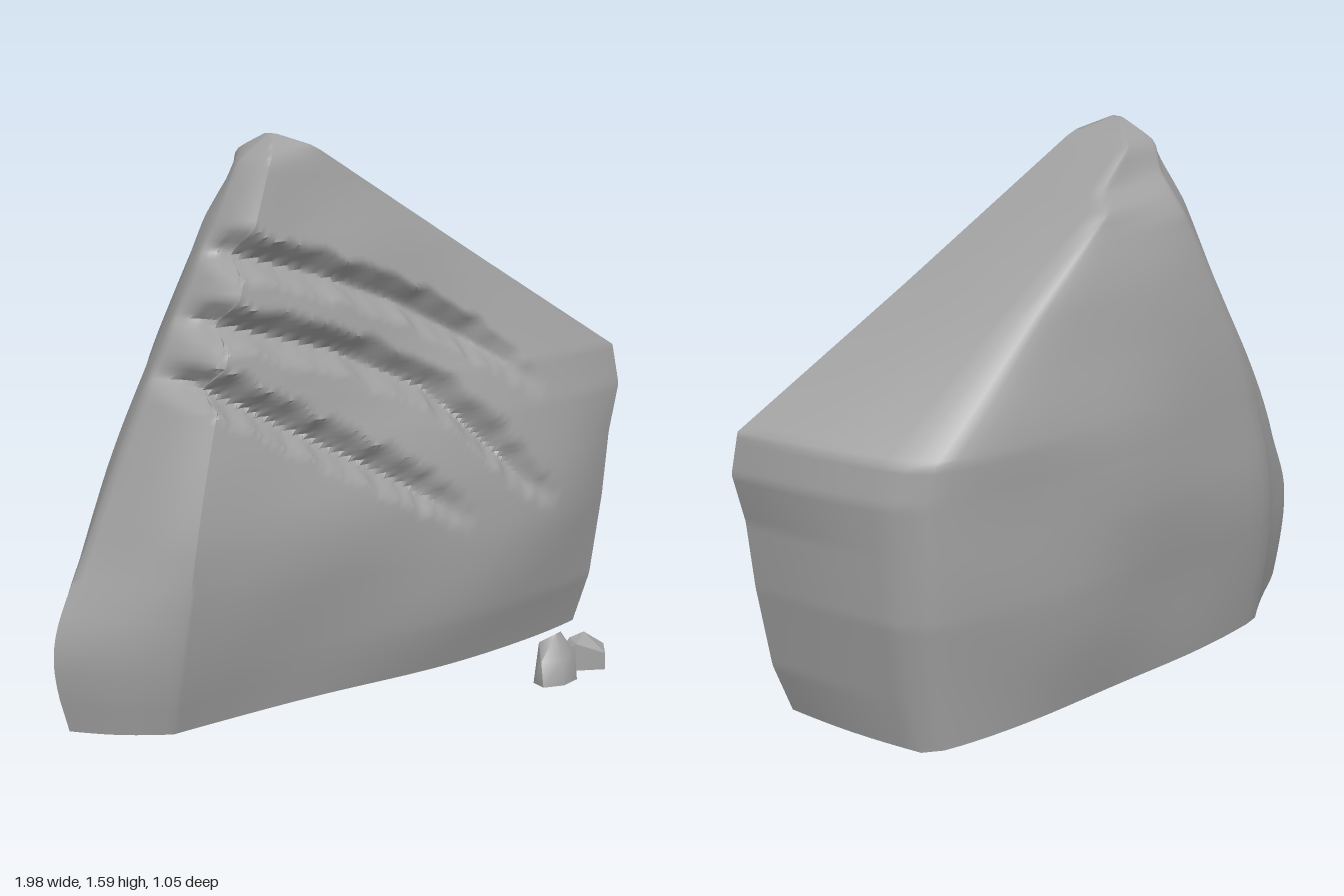
import * as THREE from 'three';
import { toCreasedNormals } from 'three/addons/utils/BufferGeometryUtils.js';
import { ConvexGeometry } from 'three/addons/geometries/ConvexGeometry.js';

const HEIGHT = 1.59, ROWS = 100;

// Corner edges of the boulder, each a path of [y, x, z] from the ground up
const LEFT = [[0, -.95, -.1], [.2, -1, -.12], [.3, -.98, -.12], [.42, -.9, -.13], [.75, -.72, -.15], [1.52, -.27, -.18], [1.59, -.18, -.16]];
const FRONT_LEFT = [[0, -.75, .11], [.2, -.76, .16], [.47, -.73, .185], [.62, -.69, .165], [.9, -.56, .085], [1.3, -.365, -.01], [1.52, -.24, -.075], [1.59, -.175, -.14]];
const FRONT_RIGHT = [[0, .85, .09], [.15, .9, .11], [.4, .94, .12], [.6, .96, .125], [.75, 1, .125], [.8745, .985, .11], [1.2, .48, .01], [1.555, -.07, -.085], [1.59, -.16, -.14]];
const BACK_RIGHT = [[0, .75, -.35], [.4, .82, -.36], [.75, .83, -.36], [.86, .8, -.37], [1.2, .39, -.38], [1.41, .1, -.38], [1.44, .07, -.33], [1.54, -.08, -.29], [1.59, -.16, -.18]];
const BACK_LEFT = [[0, -.55, -.4], [.25, -.54, -.45], [.5, -.51, -.48], [.9, -.4, -.47], [1.2, -.26, -.44], [1.41, -.17, -.4], [1.44, -.18, -.33], [1.54, -.2, -.28], [1.59, -.175, -.18]];
// Swelling of the front and back faces: [y, front, back]
const BULGE = [[0, .06, .06], [.25, .09, .08], [.47, .095, .1], [.65, .06, .1], [.88, .012, .095], [1.2, .005, .05], [1.41, 0, .01], [1.59, 0, 0]];

// Claw-like gouges: paths in x, y across the front
const GOUGES = [
  [[-.6, 1.35], [-.38, 1.28], [-.08, 1.19], [.18, 1.09], [.38, .98], [.52, .88], [.64, .78]],
  [[-.7, 1.15], [-.45, 1.09], [-.08, .98], [.22, .84], [.4, .67], [.53, .53], [.65, .45]],
  [[-.75, 1.03], [-.55, .93], [-.35, .82], [-.15, .71], [.05, .6], [.18, .52], [.29, .44]],
];

function at(path, y) {
  let i = 1;
  while (i < path.length - 1 && path[i][0] < y) i++;
  const [a, b] = [path[i - 1], path[i]];
  const t = THREE.MathUtils.clamp((y - a[0]) / (b[0] - a[0]), 0, 1);
  return [a[1] + (b[1] - a[1]) * t, a[2] + (b[2] - a[2]) * t];
}

// The same path with its kinks worn round
function worn(path, y) {
  const reach = Math.min(.11, y, (HEIGHT - y) * .25);
  const sum = [0, 0];
  for (let k = -3; k <= 3; k++) {
    const p = at(path, y + reach * k / 3);
    sum[0] += p[0] / 7;
    sum[1] += p[1] / 7;
  }
  return sum;
}

// Depth of the gouges at x, y: a sloping upper wall and a short lower lip
function gougeDepth(x, y) {
  let deepest = 0;
  GOUGES.forEach((path, k) => {
    const spans = path.length - 1;
    let best = Infinity, side = 0, along = 0;
    for (let i = 0; i < spans; i++) {
      const [ax, ay] = path[i], dx = path[i + 1][0] - ax, dy = path[i + 1][1] - ay;
      const len = Math.hypot(dx, dy);
      const t = THREE.MathUtils.clamp(((x - ax) * dx + (y - ay) * dy) / (len * len), 0, 1);
      const d = Math.hypot(x - ax - dx * t, y - ay - dy * t);
      if (d < best) {
        best = d;
        side = Math.sign((y - ay) * dx - (x - ax) * dy);
        along = (i + t) / spans;
      }
    }
    const fade = Math.min(1, (1 - along) * 3.2);
    const ragged = 1 + .1 * Math.sin(along * 47 + k * 2) + .08 * Math.sin(along * 83 + k);
    const s = side * best / (.064 * ragged * (.6 + .4 * fade));
    if (Math.abs(s) >= 1) return;
    const shape = s > 0 ? 1 - s : Math.min(1, (s + 1) / .8);
    deepest = Math.max(deepest, shape * fade * (.055 + .03 * (1 - along)));
  });
  return deepest;
}

const ripple = (x, y) => .006 * Math.sin(x * 7 + y * 4) + .005 * Math.sin(y * 11 - x * 5 + 1);

// One horizontal ring, counter-clockwise seen from above
function ring(y) {
  const [l, fl, bl] = [LEFT, FRONT_LEFT, BACK_LEFT].map(p => worn(p, y));
  const [fr, br] = [FRONT_RIGHT, BACK_RIGHT].map(p => at(p, y));
  const [front, back] = worn(BULGE, y);
  const calm = Math.min(1, (HEIGHT - y) * 4);
  const points = [];
  const span = (a, b, n, rule) => {
    for (let i = 0; i < n; i++) {
      const u = i / n;
      points.push(rule(a[0] + (b[0] - a[0]) * u, a[1] + (b[1] - a[1]) * u, u));
    }
  };
  // Left bevel
  span(l, fl, 14, (x, z, u) => {
    const d = gougeDepth(x, y) * Math.min(1, .1 + 1.5 * u);
    const swell = .012 * Math.sin(Math.PI * u) * calm;
    return [x + d * .4 - swell, y, z - d + swell];
  });
  // Front face
  span(fl, fr, 110, (x, z, u) => {
    const swell = front * Math.sin(Math.PI * u * u) + ripple(x, y) * Math.sin(Math.PI * u) * calm;
    return [x, y, z + swell - gougeDepth(x, y)];
  });
  // Right side and sloping top
  span(fr, br, 8, (x, z, u) => [x + .012 * Math.sin(Math.PI * u) * calm, y, z]);
  // Back face, fullest towards the right
  span(br, bl, 24, (x, z, u) => {
    const swell = back * Math.pow(Math.sin(Math.PI * Math.pow(u, .7)), .6);
    return [x, y, z - swell + ripple(x + 2, y) * Math.sin(Math.PI * u) * calm];
  });
  // Back left face
  span(bl, l, 10, (x, z, u) => {
    const s = Math.sin(Math.PI * u * u) * calm;
    return [x, y, z + (ripple(x, y) - .03) * s];
  });
  return points;
}

function boulderGeometry() {
  const positions = [], index = [];
  let n = 0;
  for (let i = 0; i <= ROWS; i++) {
    const points = ring(HEIGHT * i / ROWS);
    n = points.length;
    points.forEach(p => positions.push(...p));
  }
  for (let i = 0; i < ROWS; i++) {
    for (let j = 0; j < n; j++) {
      const a = i * n + j, b = i * n + (j + 1) % n;
      index.push(a, b, b + n, a, b + n, a + n);
    }
  }
  // Flat underside and tiny peak
  const base = (ROWS + 1) * n, top = ROWS * n;
  positions.push(0, 0, -.12, -.17, HEIGHT, -.16);
  for (let j = 0; j < n; j++) {
    const k = (j + 1) % n;
    index.push(base, k, j, base + 1, top + j, top + k);
  }
  const geometry = new THREE.BufferGeometry();
  geometry.setAttribute('position', new THREE.Float32BufferAttribute(positions, 3));
  geometry.setIndex(index);
  return toCreasedNormals(geometry, .95);
}

// Loose stones as hulls of a few points
const ROUND_STONE = [
  [.3, 0, .5], [.31, 0, .45], [.36, 0, .41], [.46, 0, .39], [.49, 0, .43], [.43, 0, .51], [.36, 0, .525],
  [.31, .07, .48], [.34, .115, .44], [.38, .14, .47], [.43, .13, .44], [.475, .09, .42], [.43, .08, .5], [.36, .07, .515],
];
const SHARP_STONE = [
  [.48, 0, .45], [.56, 0, .5], [.6, .01, .45], [.51, 0, .35], [.46, .04, .4],
  [.5, .09, .41], [.54, .105, .43], [.605, .06, .45], [.56, .05, .5], [.49, .08, .45],
];
function stoneGeometry(points, crease) {
  return toCreasedNormals(new ConvexGeometry(points.map(p => new THREE.Vector3(...p))), crease);
}

export function createModel() {
  const stone = new THREE.MeshStandardMaterial({ color: 0xa0a0a0 });
  stone.name = 'grey stone';
  const group = new THREE.Group();
  group.name = 'gougedBoulder';
  const add = (name, geometry) => {
    const mesh = new THREE.Mesh(geometry, stone);
    mesh.name = name;
    group.add(mesh);
  };
  add('boulder', boulderGeometry());
  add('roundStone', stoneGeometry(ROUND_STONE, 1));
  add('sharpStone', stoneGeometry(SHARP_STONE, .4));
  return group;
}
